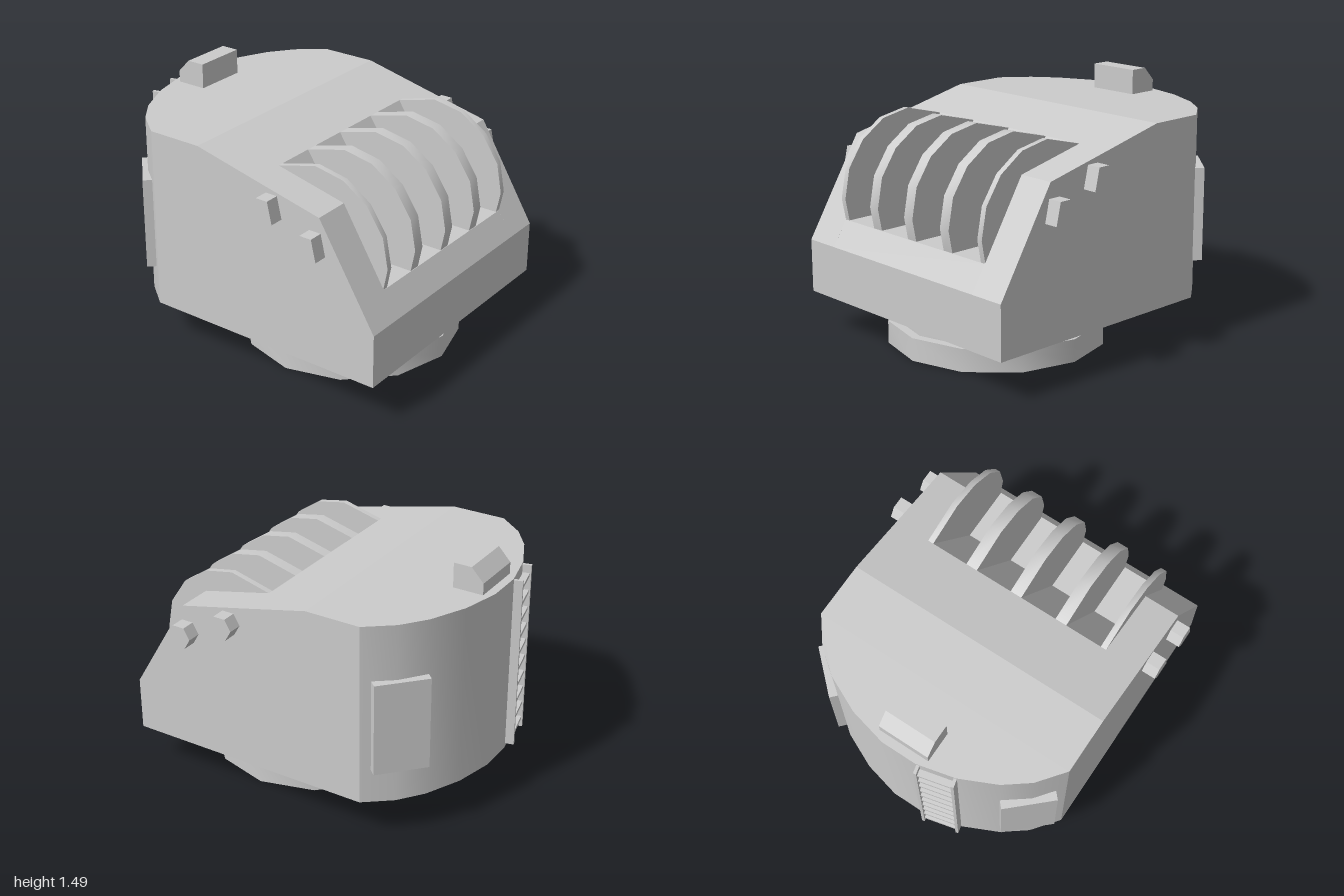
import * as THREE from 'three';
import { toCreasedNormals } from 'three/addons/utils/BufferGeometryUtils.js';

const material = new THREE.MeshStandardMaterial({ color: 0xcccccc });
const thin = new THREE.MeshStandardMaterial({ color: 0xcccccc, side: THREE.DoubleSide });
const CREASE = 0.6;

// Extrude a [z, y] side profile across x0..x1
function sidePrism(profile, x0, x1) {
  const shape = new THREE.Shape(profile.map(([z, y]) => new THREE.Vector2(-z, y)));
  return new THREE.ExtrudeGeometry(shape, { depth: x1 - x0, bevelEnabled: false })
    .rotateY(Math.PI / 2).translate(x0, 0, 0);
}

// Extrude an [x, z] plan outline from y0 to y1
function planPrism(outline, y0, y1) {
  const shape = new THREE.Shape(outline.map(([x, z]) => new THREE.Vector2(x, -z)));
  return new THREE.ExtrudeGeometry(shape, { depth: y1 - y0, bevelEnabled: false })
    .rotateX(-Math.PI / 2).translate(0, y0, 0);
}

export function createModel() {
  const model = new THREE.Group();
  model.name = 'turret';
  const add = (name, geometry, parent = model, mat = material) => {
    const mesh = new THREE.Mesh(geometry, mat);
    mesh.name = name;
    parent.add(mesh);
    return mesh;
  };

  // Stepped, open mounting ring
  const ring = [[0.65, 0], [0.65, 0.137], [0.595, 0.137], [0.595, 0.24]]
    .map(([r, y]) => new THREE.Vector2(r, y));
  add('baseRing', toCreasedNormals(new THREE.LatheGeometry(ring, 12), CREASE), model, thin)
    .position.z = 0.27;

  // Front housing: two cheeks and a notched middle
  const rearEdge = [[-0.19, 1.34], [-0.53, 1.34], [-0.53, 0.24]];
  const cheek = [[1, 0.24], [1, 0.56], [0.64, 1.15], [0.2, 1.25], ...rearEdge];
  const middle = [[1, 0.24], [1, 0.56], [0.908, 0.71], [0.56, 0.71], [0.2, 1.25], ...rearEdge];
  add('leftCheek', sidePrism(cheek, 0.6, 0.825));
  add('rightCheek', sidePrism(cheek, -0.825, -0.6));
  add('housingMiddle', sidePrism(middle, -0.6, 0.6));

  // Rounded rear of the housing
  const half = [[0.825, -0.53], [0.7, -0.69], [0.555, -0.8], [0.34, -0.9], [0.11, -0.955]];
  const outline = [...half, ...half.map(([x, z]) => [-x, z]).reverse()];
  add('housingRear', toCreasedNormals(planPrism(outline, 0.24, 1.34), CREASE));

  // Curved fins standing in the front notch
  const fin = [[0.2, 1.25], [0.45, 1.315], [0.635, 1.28], [0.79, 1.175], [0.895, 1.02],
    [0.93, 0.84], [0.905, 0.71], [0.56, 0.71]];
  const fins = new THREE.Group();
  fins.name = 'fins';
  model.add(fins);
  for (const [a, b] of [[-0.605, -0.57], [-0.34, -0.268], [-0.036, 0.036], [0.268, 0.34], [0.57, 0.605]]) {
    add('fin', toCreasedNormals(sidePrism(fin, a, b), CREASE), fins);
  }

  // Five-sided stubs, two on each cheek
  const stub = [[0.65, 1.06], [0.575, 1.06], [0.537, 0.995], [0.575, 0.93], [0.68, 0.93]];
  for (const [dz, dy] of [[0, 0], [-0.29, 0.135]]) {
    const profile = stub.map(([z, y]) => [z + dz, y + dy]);
    add('leftStub', sidePrism(profile, 0.8, 0.91));
    add('rightStub', sidePrism(profile, -0.91, -0.8));
  }

  // Hatch plates on the rear corners
  for (const s of [-1, 1]) {
    const hatch = add(s > 0 ? 'leftHatch' : 'rightHatch', new THREE.BoxGeometry(0.32, 0.56, 0.08));
    hatch.position.set(s * 0.68, 0.73, -0.7);
    hatch.rotation.y = s * Math.atan2(0.68, -0.73);
  }

  // Sight housing on the roof
  add('roofSight', sidePrism(
    [[-0.72, 1.33], [-0.72, 1.49], [-0.83, 1.49], [-0.905, 1.41], [-0.905, 1.33]], -0.16, 0.16));

  // Ladder lying against the rear wall
  const ladder = new THREE.Group();
  ladder.name = 'ladder';
  ladder.position.set(-0.235, 0, -0.95);
  ladder.rotation.y = Math.atan2(0.055, 0.23);
  model.add(ladder);
  for (const s of [-1, 1]) {
    add('ladderRail', new THREE.BoxGeometry(0.018, 1.065, 0.055), ladder)
      .position.set(s * 0.108, 0.797, 0);
  }
  for (let i = 0; i < 10; i++) {
    add('ladderRung', new THREE.BoxGeometry(0.21, 0.02, 0.04), ladder)
      .position.set(0, 0.325 + i * 0.105, 0);
  }
  return model;
}
